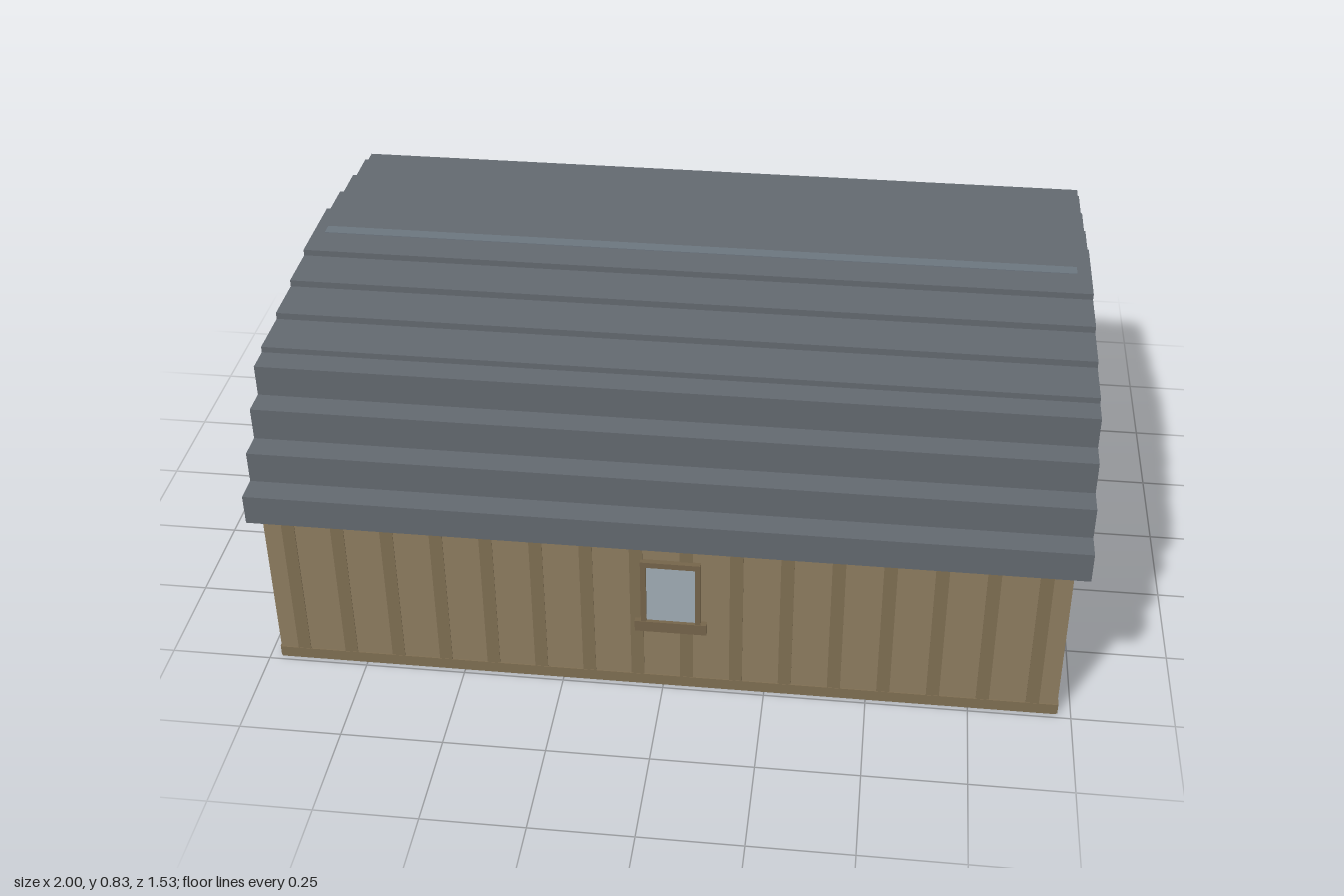
import * as THREE from 'three';

const mat = (color) => new THREE.MeshStandardMaterial({ color, flatShading: true });
const MAT = {
  wall: mat(0x8d7c5f), batten: mat(0x7e6e52), trim: mat(0x74644a), door: mat(0x786850),
  roof: mat(0x62686f), ridge: mat(0x6b757e), glass: mat(0xa0acb4), metal: mat(0x8e8f92), gutter: mat(0xa9a8a4),
};

// Box given by its minimum and maximum corners
function box(parent, name, material, [x0, y0, z0], [x1, y1, z1]) {
  const mesh = new THREE.Mesh(new THREE.BoxGeometry(x1 - x0, y1 - y0, z1 - z0), material);
  mesh.position.set((x0 + x1) / 2, (y0 + y1) / 2, (z0 + z1) / 2);
  mesh.name = name;
  parent.add(mesh);
  return mesh;
}

// Window facing +z, with its sill standing on y = 0 and its back on z = 0
function makeWindow(name) {
  const g = new THREE.Group();
  g.name = name;
  const rect = (P, x, y0, y1) => new P().moveTo(-x, y0).lineTo(x, y0).lineTo(x, y1).lineTo(-x, y1).closePath();
  const frameShape = rect(THREE.Shape, 0.0725, 0, 0.21);
  frameShape.holes.push(rect(THREE.Path, 0.059, 0.03, 0.195));
  const frame = new THREE.Mesh(new THREE.ExtrudeGeometry(frameShape, { depth: 0.014, bevelEnabled: false }), MAT.trim);
  frame.name = 'windowFrame';
  g.add(frame);
  box(g, 'windowPane', MAT.glass, [-0.06, 0.025, 0], [0.06, 0.2, 0.007]);
  box(g, 'windowSill', MAT.trim, [-0.0875, 0, 0], [0.0875, 0.03, 0.016]);
  return g;
}

// Vertical battens and a base board for a wall of the given width, facing +z
function makeCladding(name, width, count) {
  const g = new THREE.Group();
  g.name = name;
  const step = width / count;
  for (let i = 0; i < count; i++) {
    const x = -width / 2 + (i + 0.5) * step;
    box(g, 'batten', MAT.batten, [x - 0.016, 0.03, -0.002], [x + 0.016, 0.44, 0.002]);
  }
  box(g, 'baseBoard', MAT.batten, [-width / 2, 0, -0.002], [width / 2, 0.03, 0.003]);
  return g;
}

export function createModel() {
  const model = new THREE.Group();
  model.name = 'barn';
  const X0 = -0.97, X1 = 0.965, Z0 = -0.72, Z1 = 0.735;
  const cx = (X0 + X1) / 2, cz = (Z0 + Z1) / 2;

  // Walls
  box(model, 'walls', MAT.wall, [X0, 0, Z0], [X1, 0.45, Z1]);
  const sides = [
    ['front', cx, Z1, 0, X1 - X0, 16], ['back', cx, Z0, Math.PI, X1 - X0, 16],
    ['left', X1, cz, Math.PI / 2, Z1 - Z0, 14], ['right', X0, cz, -Math.PI / 2, Z1 - Z0, 14],
  ];
  for (const [side, x, z, turn, width, count] of sides) {
    const cladding = makeCladding(side + 'Cladding', width, count);
    cladding.position.set(x, 0, z);
    cladding.rotation.y = turn;
    model.add(cladding);
  }

  // Windows
  const windows = [
    ['frontWindow', 0.021, 0.18, Z1, 0],
    ['leftWindow', X1, 0, 0.052, Math.PI / 2],
    ['rightWindow', X0, 0.15, -0.045, -Math.PI / 2],
  ];
  for (const [name, x, y, z, turn] of windows) {
    const win = makeWindow(name);
    win.position.set(x, y, z);
    win.rotation.y = turn;
    model.add(win);
  }

  // Stepped arched roof: half-width and top height of each course, eave to ridge
  const courses = [[0.76, 0.517], [0.695, 0.597], [0.63, 0.68], [0.565, 0.76],
    [0.5, 0.775], [0.37, 0.792], [0.24, 0.809], [0.112, 0.825]];
  const outline = [];
  let y = 0.44;
  for (const [half, top] of courses) {
    outline.push([half, y], [half, top]);
    y = top;
  }
  const points = [...outline, ...outline.map(([h, v]) => [-h, v]).reverse()];
  const roofShape = new THREE.Shape(points.map(([h, v]) => new THREE.Vector2(h, v)));
  const roof = new THREE.Mesh(new THREE.ExtrudeGeometry(roofShape, { depth: 2, bevelEnabled: false }), MAT.roof);
  roof.name = 'roof';
  roof.rotation.y = Math.PI / 2;
  roof.position.set(-1, 0, 0.005);
  model.add(roof);
  box(model, 'ridgeStrip', MAT.ridge, [X0, 0.8, -0.012], [X1, 0.8265, 0.022]);

  // Back door with a wall bracket on either side
  box(model, 'backDoor', MAT.door, [-0.13, 0, -0.735], [0.13, 0.34, Z0]);
  for (const x of [-0.215, 0.22]) {
    box(model, 'wallBracket', MAT.trim, [x - 0.025, 0.15, -0.735], [x + 0.025, 0.2, Z0]);
  }

  // Row of posts along the back under the gutter
  for (let i = -3; i <= 3; i++) {
    const x = i * 0.224 - 0.005;
    box(model, 'backPost', MAT.metal, [x - 0.014, 0, -0.746], [x + 0.014, 0.445, Z0]);
  }
  box(model, 'doorLamp', MAT.metal, [-0.033, 0.34, -0.746], [0.023, 0.375, Z0]);
  box(model, 'gutter', MAT.gutter, [-0.92, 0.438, -0.77], [0.915, 0.485, -0.735]);

  return model;
}
